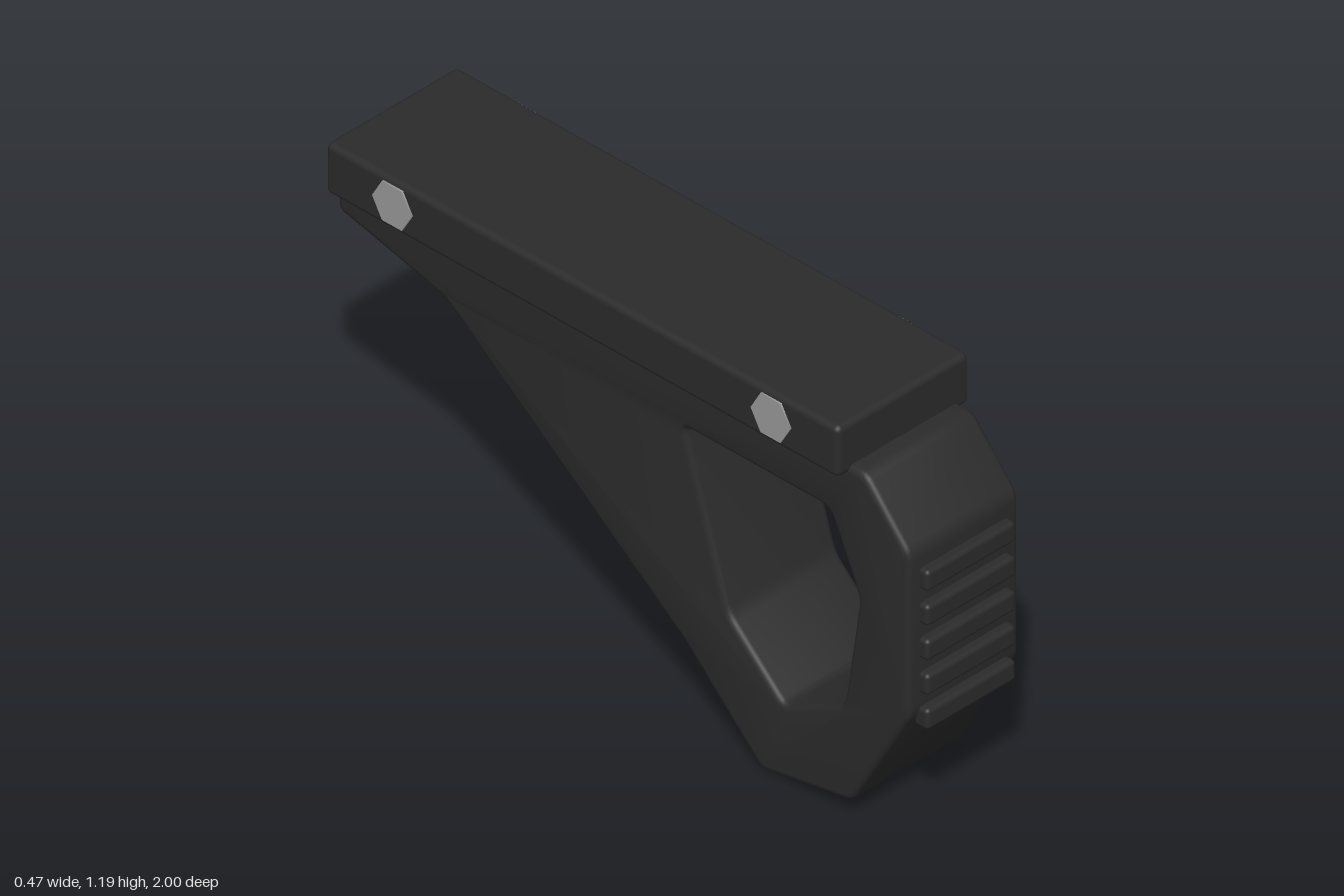
import * as THREE from 'three';
import { toCreasedNormals } from 'three/addons/utils/BufferGeometryUtils.js';
import { RoundedBoxGeometry } from 'three/addons/geometries/RoundedBoxGeometry.js';

// Closed outline of [z, y] points with softened corners
function roundedOutline(path, points, radius) {
  const pts = points.map(([z, y]) => new THREE.Vector2(z, y));
  const n = pts.length;
  pts.forEach((p, i) => {
    const toward = (q) => p.clone().add(q.clone().sub(p).setLength(radius));
    const a = toward(pts[(i + n - 1) % n]);
    const b = toward(pts[(i + 1) % n]);
    if (i === 0) path.moveTo(a.x, a.y);
    else path.lineTo(a.x, a.y);
    path.quadraticCurveTo(p.x, p.y, b.x, b.y);
  });
  path.closePath();
  return path;
}

export function createModel() {
  const group = new THREE.Group();
  const polymer = new THREE.MeshStandardMaterial({ color: 0x2b2b2b });
  polymer.name = 'black polymer';
  const steel = new THREE.MeshStandardMaterial({ color: 0x999999 });
  steel.name = 'bare steel';

  const add = (name, geometry, material, x = 0, y = 0, z = 0) => {
    const mesh = new THREE.Mesh(geometry, material);
    mesh.name = name;
    mesh.position.set(x, y, z);
    group.add(mesh);
  };

  // Angled grip body with a finger opening, extruded across x
  const outline = roundedOutline(new THREE.Shape(), [
    [0.82, 1.062], [0.972, 0.89], [0.972, 0.405], [0.77, 0.054], [0.46, 0.0],
    [0.2, 0.255], [-0.63, 0.885], [-0.996, 0.972], [-0.996, 1.062],
  ], 0.025);
  outline.holes.push(roundedOutline(new THREE.Path(), [
    [0.695, 0.9], [0.195, 0.9], [0.35, 0.41], [0.54, 0.232], [0.745, 0.335], [0.797, 0.68],
  ], 0.025));
  const width = 0.39, bevel = 0.018;
  const body = new THREE.ExtrudeGeometry(outline, {
    depth: width - 2 * bevel, curveSegments: 4,
    bevelThickness: bevel, bevelSize: bevel, bevelOffset: -bevel, bevelSegments: 3,
  });
  body.translate(0, 0, -(width / 2 - bevel));
  body.rotateY(-Math.PI / 2);
  add('gripBody', toCreasedNormals(body, 0.6), polymer);

  // Mounting rail on top
  add('mountingRail', new RoundedBoxGeometry(0.464, 0.152, 1.765, 3, 0.018), polymer, 0, 1.115, -0.1175);

  // Raised ribs on the front face
  for (let i = 0; i < 5; i++) {
    add('gripRib', new RoundedBoxGeometry(0.314, 0.062, 0.05, 3, 0.013), polymer, 0, 0.806 - i * 0.104, 0.975);
  }

  // Hexagonal bolt heads on both sides of the rail
  const bolt = new THREE.CylinderGeometry(0.068, 0.068, 0.03, 6);
  bolt.rotateZ(Math.PI / 2);
  for (const side of [-1, 1]) {
    for (const z of [0.537, -0.765]) {
      add(side > 0 ? 'leftBolt' : 'rightBolt', bolt, steel, side * 0.222, 1.117, z);
    }
  }
  return group;
}
